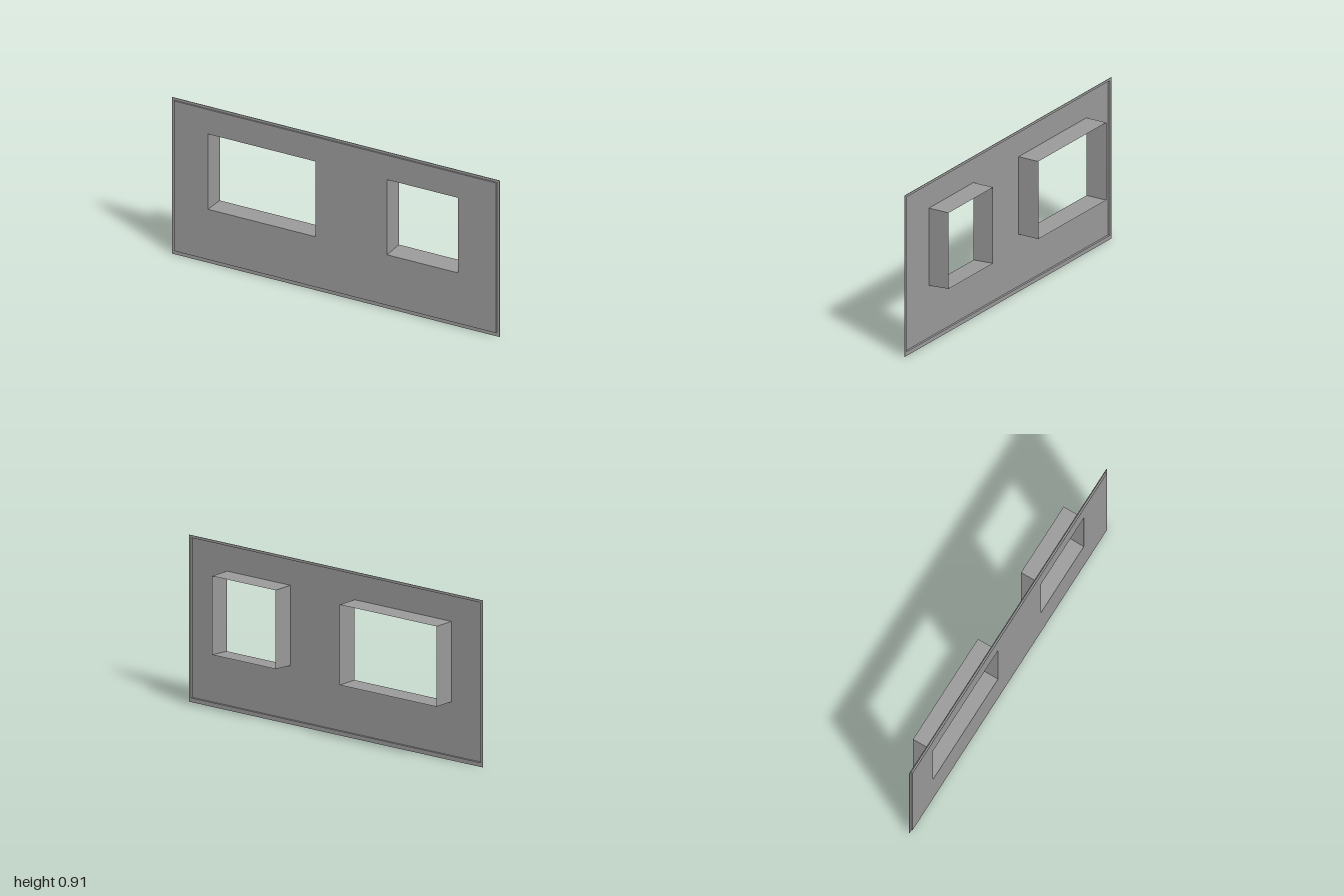
import * as THREE from 'three';

const FLANGE_FRONT = 0.053, FLANGE_BACK = 0.05, PANEL_Z = 0.062, BACK_Z = -0.062;
const material = new THREE.MeshStandardMaterial({ color: 0x9a9a9a, side: THREE.DoubleSide, flatShading: true });

// Rectangles are [left, bottom, right, top]
const outer = [-1, 0, 1, 0.914];
const inner = [-0.984, 0.023, 0.984, 0.9];
const windows = [
  { name: 'wideWindowSleeve', front: [-0.776, 0.317, -0.118, 0.757], back: [-0.776, 0.317, -0.118, 0.757] },
  { name: 'squareWindowSleeve', front: [0.318, 0.318, 0.75, 0.757], back: [0.318, 0.326, 0.75, 0.757] },
];

const corners = ([l, b, r, t]) => [[l, b], [r, b], [r, t], [l, t]].map(([x, y]) => new THREE.Vector2(x, y));

function addMesh(group, name, geometry) {
  const mesh = new THREE.Mesh(geometry, material);
  mesh.name = name;
  group.add(mesh);
}

// Flat sheet with rectangular openings
function sheet(rect, holes, z) {
  const shape = new THREE.Shape(corners(rect));
  for (const hole of holes) shape.holes.push(new THREE.Path(corners(hole).reverse()));
  return new THREE.ShapeGeometry(shape).translate(0, 0, z);
}

// Four walls joining a front rectangle to a back rectangle, facing outward
function walls(front, zFront, back, zBack) {
  const f = corners(front), b = corners(back), positions = [];
  for (let i = 0; i < 4; i++) {
    const j = (i + 1) % 4;
    const quad = [[f[i], zFront], [b[i], zBack], [b[j], zBack], [f[j], zFront]];
    for (const k of [0, 1, 2, 0, 2, 3]) positions.push(quad[k][0].x, quad[k][0].y, quad[k][1]);
  }
  const geometry = new THREE.BufferGeometry();
  geometry.setAttribute('position', new THREE.Float32BufferAttribute(positions, 3));
  geometry.computeVertexNormals();
  return geometry;
}

export function createModel() {
  const group = new THREE.Group();
  group.name = 'wallPanel';

  // Thin border with a narrow outer edge
  addMesh(group, 'borderFront', sheet(outer, [inner], FLANGE_FRONT));
  addMesh(group, 'borderBack', sheet(outer, [inner], FLANGE_BACK));
  addMesh(group, 'borderEdge', walls(outer, FLANGE_FRONT, outer, FLANGE_BACK));

  // Raised face, hollow behind, and the step around it
  addMesh(group, 'facePanel', sheet(inner, windows.map((w) => w.front), PANEL_Z));
  addMesh(group, 'panelStep', walls(inner, PANEL_Z, inner, FLANGE_BACK));

  // Open sleeves running back from each window
  for (const w of windows) addMesh(group, w.name, walls(w.front, PANEL_Z, w.back, BACK_Z));

  return group;
}
